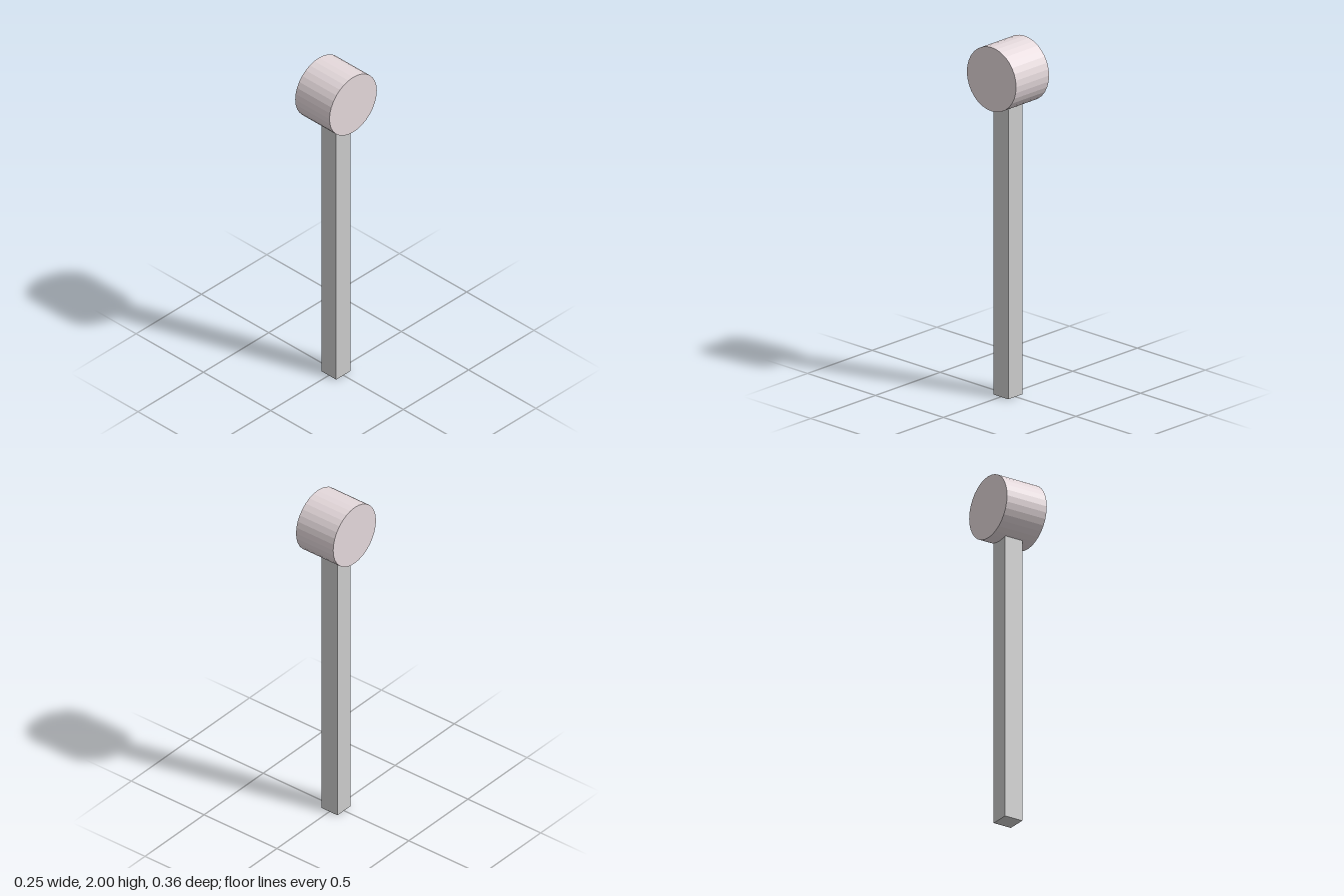
import * as THREE from 'three';

export function createModel() {
  const group = new THREE.Group();

  // Square handle, its top end buried in the head
  const handleHeight = 1.7;
  const handle = new THREE.Mesh(
    new THREE.BoxGeometry(0.11, handleHeight, 0.11),
    new THREE.MeshStandardMaterial({ color: 0xcccccc })
  );
  handle.name = 'handle';
  handle.position.y = handleHeight / 2;
  group.add(handle);

  // Faceted drum head lying along x
  const radius = 0.181;
  const headGeometry = new THREE.CylinderGeometry(radius, radius, 0.255, 32);
  headGeometry.rotateZ(Math.PI / 2);
  const head = new THREE.Mesh(
    headGeometry,
    new THREE.MeshStandardMaterial({ color: 0xe4d8db, flatShading: true })
  );
  head.name = 'head';
  head.position.y = 2 - radius;
  group.add(head);

  return group;
}
